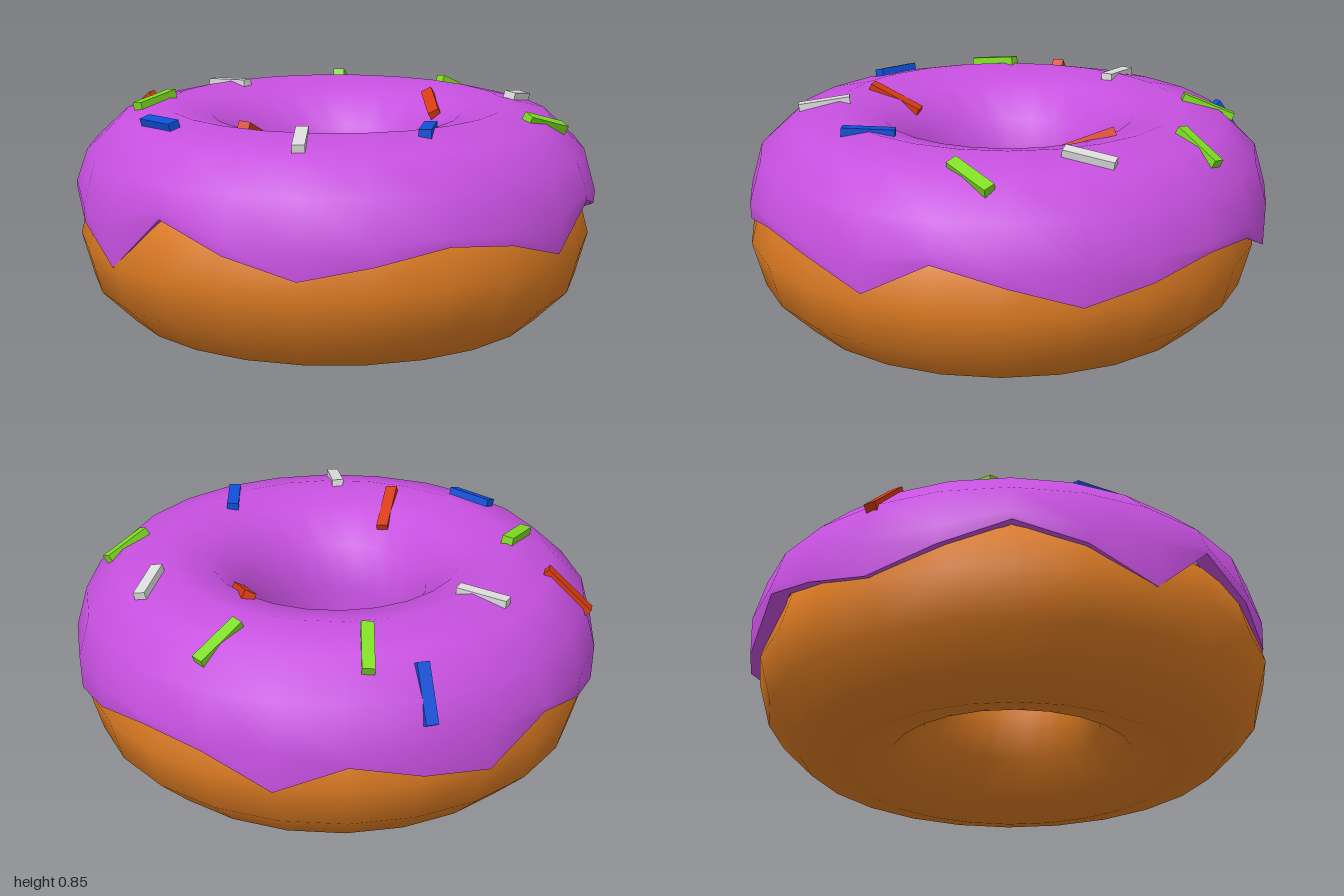
import * as THREE from 'three';

const SEG = 24;
// Height of the icing's rim at each 15 degree step, from +z towards +x
const OUTER = [.38, .52, .45, .37, .42, .47, .45, .34, .45, .39, .35, .48,
  .42, .36, .43, .51, .44, .33, .55, .46, .39, .44, .49, .46];
const INNER = [.42, .42, .36, .32, .34, .38, .42, .38, .34, .32, .31, .34,
  .38, .42, .33, .38, .43, .38, .34, .32, .34, .38, .34, .38];

// Icing cross-section
const RING = .645, TUBE = .345, MID = .5, RISE = .32;
const section = deg => {
  const t = THREE.MathUtils.degToRad(deg);
  return [RING + TUBE * Math.cos(t), MID + RISE * Math.sin(t)];
};

function material(name, color) {
  const m = new THREE.MeshStandardMaterial({ color });
  m.name = name;
  return m;
}

// Closed strip of rings; profile(i) gives [radius, height] pairs for step i
function ringSurface(profile) {
  const pos = [], index = [];
  const rows = profile(0).length;
  for (let i = 0; i < SEG; i++) {
    const a = i / SEG * Math.PI * 2;
    for (const [r, y] of profile(i)) pos.push(r * Math.sin(a), y, r * Math.cos(a));
    const n = (i + 1) % SEG;
    for (let j = 0; j < rows - 1; j++) {
      const p = i * rows + j, q = n * rows + j;
      index.push(p, p + 1, q, q, p + 1, q + 1);
    }
  }
  const g = new THREE.BufferGeometry();
  g.setAttribute('position', new THREE.Float32BufferAttribute(pos, 3));
  g.setIndex(index);
  g.computeVertexNormals();
  return g;
}

// Outer edge, over the top, down into the hole
function icingProfile(i) {
  const yo = OUTER[i], belt = Math.max(MID, yo + .03);
  const beltR = RING + TUBE * Math.sqrt(1 - ((belt - MID) / RISE) ** 2);
  return [
    [Math.min(beltR, .987), yo], [beltR, belt],
    ...[30, 60, 90, 120, 150, 180].map(section),
    [.297, INNER[i]],
  ];
}

// Height of the icing above a point at radius r
function icingHeight(r) {
  const pts = [180, 150, 120, 90, 60, 30, 0].map(section);
  for (let k = 0; k < pts.length - 1; k++) {
    const [r0, y0] = pts[k], [r1, y1] = pts[k + 1];
    if (r <= r1) return y0 + (y1 - y0) * (r - r0) / (r1 - r0);
  }
  return MID;
}

// Small bar lying on the icing between two plan points
function sprinkle(x0, z0, x1, z1, mat) {
  const a = new THREE.Vector3(x0, icingHeight(Math.hypot(x0, z0)), z0);
  const b = new THREE.Vector3(x1, icingHeight(Math.hypot(x1, z1)), z1);
  const mid = a.clone().add(b).multiplyScalar(.5);
  const r = Math.hypot(mid.x, mid.z);
  const slope = (r - RING) / TUBE ** 2;
  const up = new THREE.Vector3(mid.x / r * slope, (mid.y - MID) / RISE ** 2, mid.z / r * slope);
  const along = b.clone().sub(a);
  const length = along.length();
  along.normalize();
  up.addScaledVector(along, -up.dot(along)).normalize();
  const mesh = new THREE.Mesh(new THREE.BoxGeometry(length, .035, .045), mat);
  mesh.quaternion.setFromRotationMatrix(
    new THREE.Matrix4().makeBasis(along, up, along.clone().cross(up)));
  mesh.position.copy(mid).addScaledVector(up, .01);
  mesh.name = 'sprinkle';
  return mesh;
}

export function createModel() {
  const group = new THREE.Group();
  group.name = 'doughnut';
  const dough = material('dough orange', 0xdb7a22);
  const icing = material('icing purple', 0xc650df);
  icing.side = THREE.DoubleSide;
  const red = material('sprinkle red', 0xd63a10);
  const white = material('sprinkle white', 0xdcdcdc);
  const blue = material('sprinkle blue', 0x1050d8);
  const green = material('sprinkle green', 0x7edc22);

  // Baked ring
  const base = new THREE.Mesh(new THREE.TorusGeometry(.63, .34, 12, SEG).rotateX(Math.PI / 2), dough);
  base.position.set(-.02, .34, .01);
  base.name = 'doughRing';
  group.add(base);

  // Icing shell with a dripping rim
  const shell = new THREE.Mesh(ringSurface(icingProfile), icing);
  shell.name = 'icing';
  group.add(shell);

  // Underside of the drips, closing the gap to the dough
  const lip = new THREE.Mesh(ringSurface(i => {
    const [r, y] = icingProfile(i)[0];
    return [[r - .07, y + .02], [r, y]];
  }), icing);
  lip.name = 'icingLip';
  group.add(lip);

  // Scattered sprinkles
  const sprinkles = new THREE.Group();
  sprinkles.name = 'sprinkles';
  for (const [mat, ...ends] of [
    [red, -.24, -.92, -.2, -.76], [red, -.6, .05, -.41, 0], [red, .36, .22, .5, .09],
    [white, .135, -.75, .135, -.56], [white, -.7, .38, -.54, .27], [white, .49, .47, .67, .43],
    [blue, .58, -.62, .67, -.7], [blue, -.71, -.17, -.67, -.35], [blue, -.32, .63, -.15, .54],
    [green, .54, -.4, .71, -.49], [green, -.49, -.57, -.3, -.57],
    [green, .2, .72, .38, .77], [green, .71, 0, .88, .06],
  ]) sprinkles.add(sprinkle(...ends, mat));
  group.add(sprinkles);
  return group;
}
